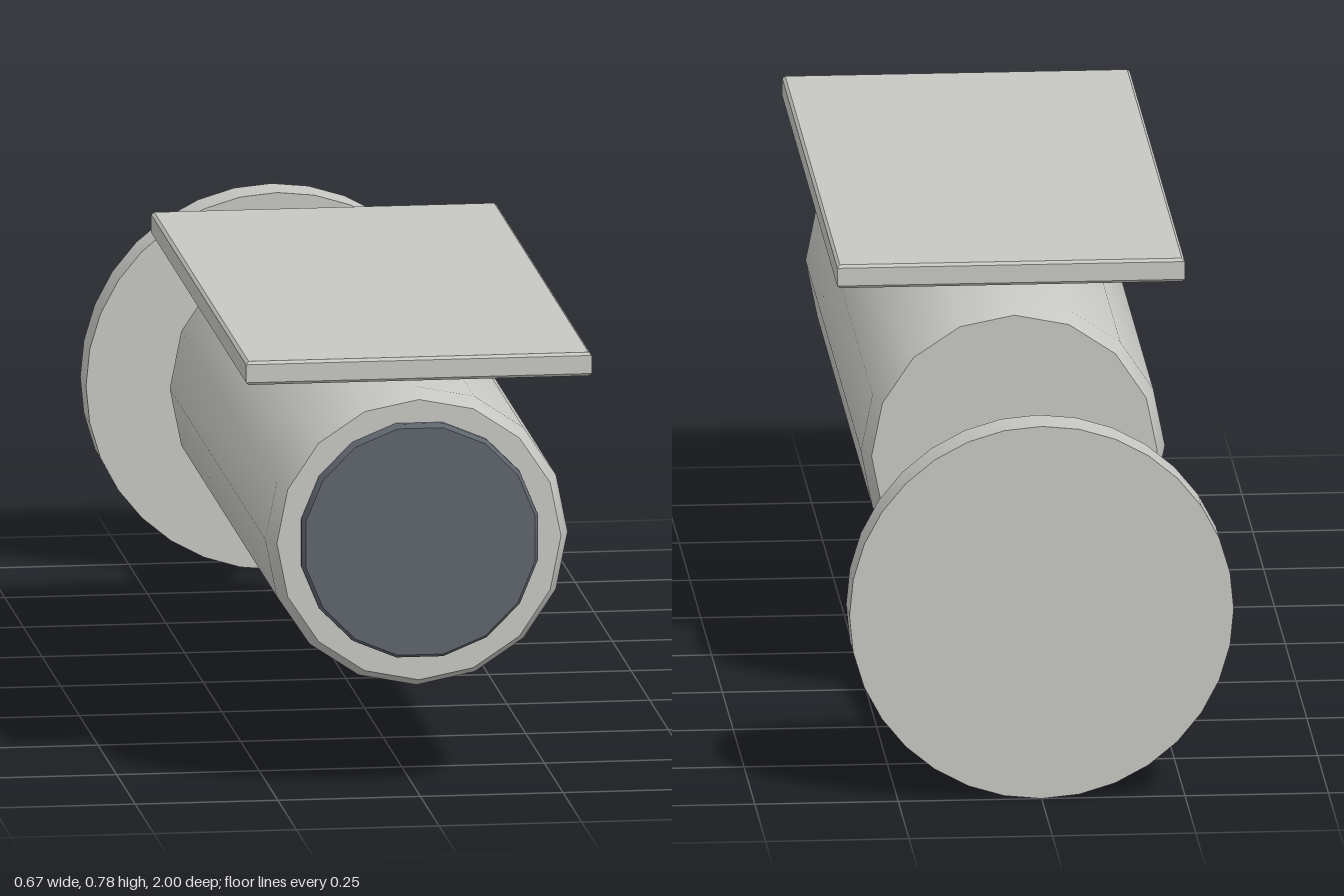
import * as THREE from 'three';
import { toCreasedNormals } from 'three/addons/utils/BufferGeometryUtils.js';

export function createModel() {
  const group = new THREE.Group();
  const casing = new THREE.MeshStandardMaterial({ color: 0xc6c6c3 });
  casing.name = 'light grey casing';
  const glass = new THREE.MeshStandardMaterial({ color: 0x5f656d });
  glass.name = 'dark lens';

  function add(name, geometry, material, x = 0, y = 0, z = 0) {
    const mesh = new THREE.Mesh(toCreasedNormals(geometry, 0.7), material);
    mesh.name = name;
    mesh.position.set(x, y, z);
    group.add(mesh);
    return mesh;
  }

  // Solid of revolution about the z axis; profile is [radius, z] from back to front
  function turned(profile, sides, start = 0) {
    const points = profile.map(([r, z]) => new THREE.Vector2(r, z));
    return new THREE.LatheGeometry(points, sides, start).rotateX(Math.PI / 2);
  }

  // Housing with chamfered ends
  add('housing', turned([
    [0, -0.37], [0.249, -0.37], [0.265, -0.335], [0.265, 0.945], [0.249, 0.98], [0, 0.98],
  ], 16), casing, 0, 0.453, 0);

  // Lens disc on the front of the housing
  add('lens', turned([
    [0, 0.97], [0.211, 0.97], [0.211, 0.99], [0.205, 1], [0, 1],
  ], 16, Math.PI / 16), glass, 0, 0.454, 0);

  // Sun shield: flat slab with a fine bevel all round
  const bevel = 0.005, w = 0.303 - bevel, l = 0.637 - bevel;
  const outline = new THREE.Shape([
    new THREE.Vector2(-w, -l), new THREE.Vector2(w, -l),
    new THREE.Vector2(w, l), new THREE.Vector2(-w, l),
  ]);
  const shield = new THREE.ExtrudeGeometry(outline, {
    depth: 0.042 - 2 * bevel, bevelEnabled: true, bevelSegments: 1,
    bevelSize: bevel, bevelThickness: bevel,
  });
  shield.rotateX(-Math.PI / 2);
  add('sunShield', shield, casing, 0, 0.735 + bevel, 0.343);

  // Sloping arm between the housing and the wall plate
  const from = new THREE.Vector3(0, 0.339, -0.912);
  const to = new THREE.Vector3(0, 0.422, -0.355);
  const direction = to.clone().sub(from);
  const middle = from.clone().add(to).multiplyScalar(0.5);
  const arm = add('arm', new THREE.CylinderGeometry(0.083, 0.083, direction.length(), 12),
    casing, middle.x, middle.y, middle.z);
  arm.quaternion.setFromUnitVectors(new THREE.Vector3(0, 1, 0), direction.normalize());

  // Round wall plate
  add('wallPlate', turned([
    [0, -1], [0.335, -1], [0.335, -0.922], [0, -0.922],
  ], 32), casing, 0, 0.336, 0);

  return group;
}
